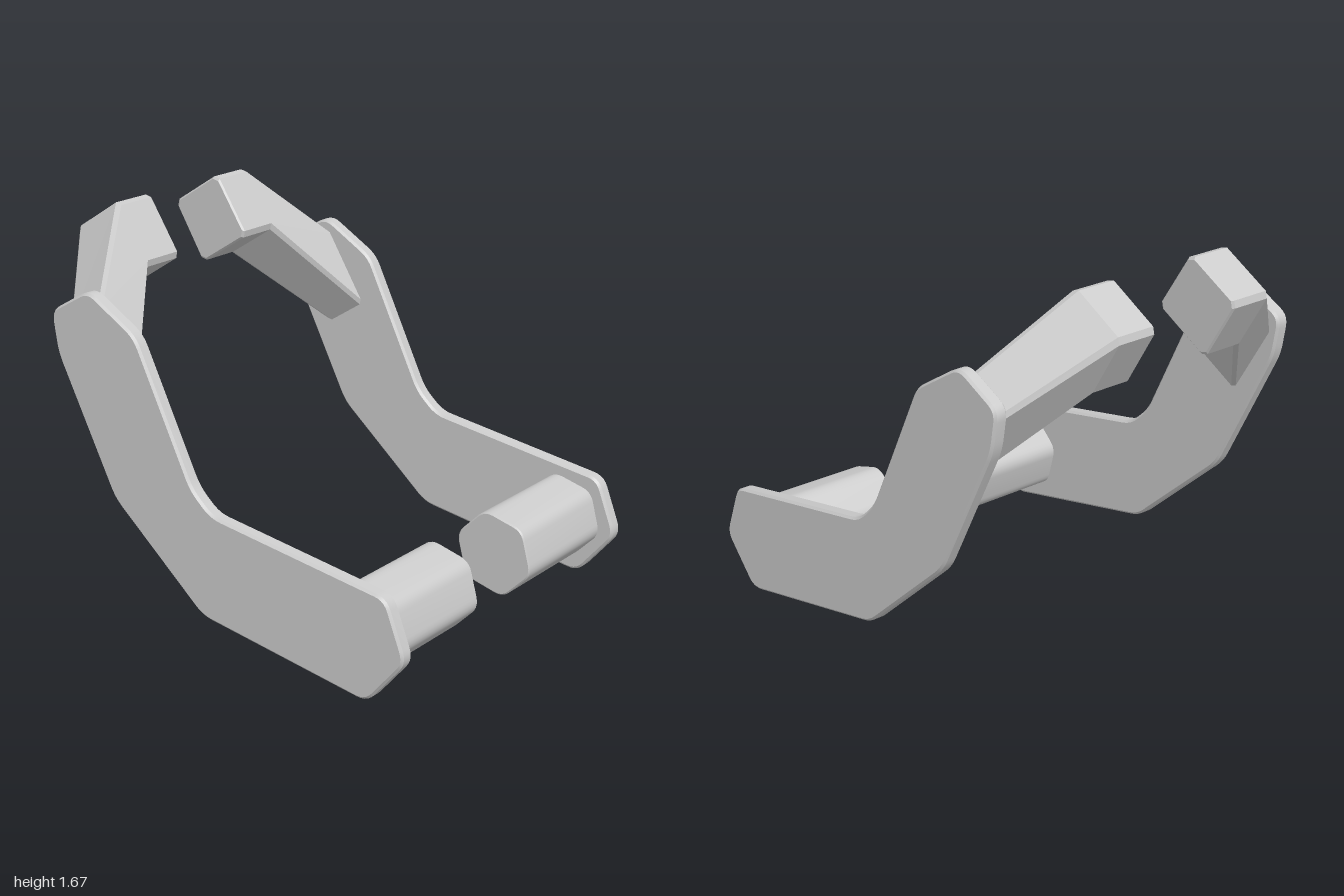
import * as THREE from 'three';
import { toCreasedNormals } from 'three/addons/utils/BufferGeometryUtils.js';

const material = new THREE.MeshStandardMaterial({ color: 0xcccccc });

// Closed outline with every corner softened over the distance r
function roundedShape(points, r) {
  const pts = points.map(([z, y]) => new THREE.Vector2(z, y));
  const shape = new THREE.Shape();
  pts.forEach((p, i) => {
    const toward = (q) => p.clone().add(q.clone().sub(p).setLength(Math.min(r, p.distanceTo(q) * 0.45)));
    const a = toward(pts[(i + pts.length - 1) % pts.length]);
    const b = toward(pts[(i + 1) % pts.length]);
    if (i === 0) shape.moveTo(a.x, a.y);
    else shape.lineTo(a.x, a.y);
    shape.quadraticCurveTo(p.x, p.y, b.x, b.y);
  });
  shape.closePath();
  return shape;
}

// Extrude a (z, y) outline along x, from x0 to x1, with chamfered rims
function extrudeAlongX(points, r, x0, x1, bevel) {
  const geo = new THREE.ExtrudeGeometry(roundedShape(points, r), {
    depth: x1 - x0 - 2 * bevel, curveSegments: 5,
    bevelEnabled: true, bevelSegments: 1, bevelSize: bevel, bevelThickness: bevel, bevelOffset: -bevel,
  });
  geo.rotateY(-Math.PI / 2).translate(x1 - bevel, 0, 0);
  return toCreasedNormals(geo, 0.6);
}

// Cut the corners of a (z, y) quad, giving eight points
function chamferQuad(quad, c) {
  return quad.flatMap((p, i) => [quad[(i + 3) % 4], quad[(i + 1) % 4]].map((q) => {
    const t = c / Math.hypot(q[0] - p[0], q[1] - p[1]);
    return [p[0] + (q[0] - p[0]) * t, p[1] + (q[1] - p[1]) * t];
  }));
}

// Skin between (z, y) sections placed at increasing x, with flat caps
function loft(sections) {
  const pos = [];
  const put = (s, i) => {
    const [z, y] = s.ring[i % s.ring.length];
    pos.push(s.x, y, z);
  };
  const n = sections[0].ring.length;
  for (let k = 0; k < sections.length - 1; k++) {
    const a = sections[k], b = sections[k + 1];
    for (let i = 0; i < n; i++) {
      put(a, i); put(b, i + 1); put(a, i + 1);
      put(a, i); put(b, i); put(b, i + 1);
    }
  }
  const first = sections[0], last = sections[sections.length - 1];
  for (let i = 1; i < n - 1; i++) {
    put(first, 0); put(first, i); put(first, i + 1);
    put(last, 0); put(last, i + 1); put(last, i);
  }
  const geo = new THREE.BufferGeometry();
  geo.setAttribute('position', new THREE.Float32BufferAttribute(pos, 3));
  geo.computeVertexNormals();
  return geo;
}

// Mirror a non-indexed geometry in x, keeping faces outward
function mirrorX(geo) {
  const out = new THREE.BufferGeometry();
  for (const name of ['position', 'normal']) {
    const src = geo.attributes[name], sign = -1, data = [];
    for (let i = 0; i < src.count; i += 3) {
      for (const j of [i, i + 2, i + 1]) data.push(sign * src.getX(j), src.getY(j), src.getZ(j));
    }
    out.setAttribute(name, new THREE.Float32BufferAttribute(data, 3));
  }
  return out;
}

export function createModel() {
  // Bent side plate, outline in (z, y)
  const plate = extrudeAlongX([
    [1.014, 0.205], [0.92, 0.449], [0.065, 0.578], [-0.035, 0.668], [-0.32, 1.255], [-0.57, 1.405],
    [-0.782, 1.285], [-0.754, 1.11], [-0.46, 0.53], [0.005, 0.127], [0.832, -0.01],
  ], 0.05, 0.766, 0.83, 0.01);

  // Six-sided post with soft corners
  const hexagon = [];
  for (let i = 0; i < 6; i++) {
    const a = THREE.MathUtils.degToRad(-15 + i * 60);
    hexagon.push([0.75 + 0.195 * Math.cos(a), 0.245 + 0.195 * Math.sin(a)]);
  }
  const post = extrudeAlongX(hexagon, 0.045, 0.198, 0.78, 0.006);

  // Tilted square arm: level at the tip, then slanting down to the plate
  const tip = [[-0.765, 1.675], [-1.012, 1.52], [-0.855, 1.26], [-0.6, 1.42]];
  const root = [[-0.55, 1.345], [-0.732, 1.22], [-0.54, 0.9], [-0.35, 1.02]];
  const inset = tip.map(([z, y]) => [-0.808 + (z + 0.808) * 0.95, 1.469 + (y - 1.469) * 0.95]);
  const arm = loft([
    { x: 0.22, ring: chamferQuad(inset, 0.022) },
    { x: 0.228, ring: chamferQuad(tip, 0.022) },
    { x: 0.415, ring: chamferQuad(tip, 0.022) },
    { x: 0.775, ring: chamferQuad(root, 0.018) },
  ]);

  const model = new THREE.Group();
  model.name = 'bracketPair';
  for (const side of ['left', 'right']) {
    const half = new THREE.Group();
    half.name = side + 'Bracket';
    for (const [name, geo] of Object.entries({ SidePlate: plate, Post: post, UpperArm: arm })) {
      const mesh = new THREE.Mesh(side === 'left' ? geo : mirrorX(geo), material);
      mesh.name = side + name;
      half.add(mesh);
    }
    model.add(half);
  }
  return model;
}
